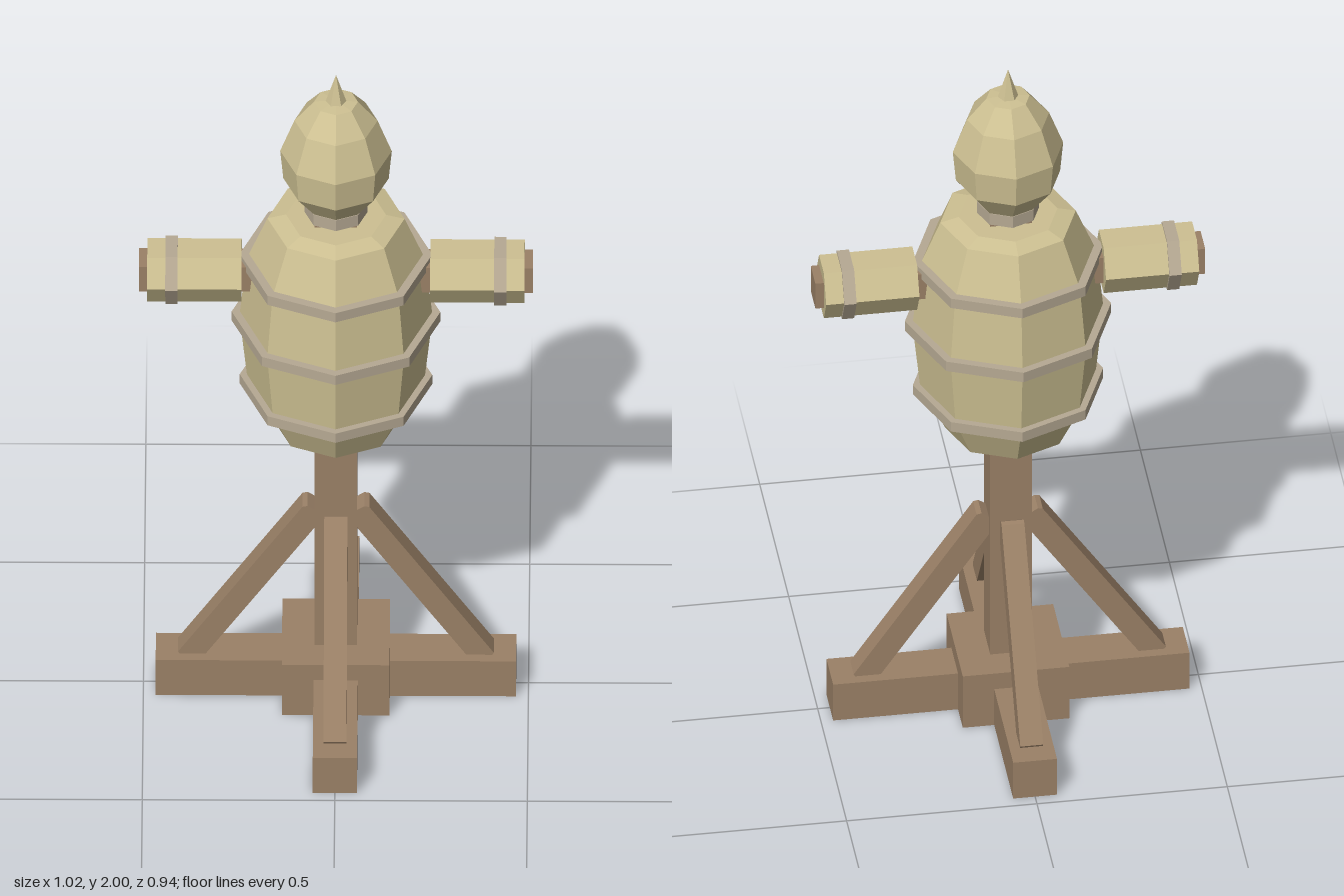
import * as THREE from 'three';

function material(name, color) {
  const m = new THREE.MeshStandardMaterial({ color, flatShading: true });
  m.name = name;
  return m;
}

export function createModel() {
  const wood = material('wood', 0x9b8167);
  const straw = material('straw', 0xcdc092);
  const rope = material('rope', 0xb6a993);
  const model = new THREE.Group();

  function add(name, geometry, mat, x = 0, y = 0, z = 0, parent = model) {
    const mesh = new THREE.Mesh(geometry, mat);
    mesh.name = name;
    mesh.position.set(x, y, z);
    parent.add(mesh);
    return mesh;
  }
  const lathe = (points, sides) =>
    new THREE.LatheGeometry(points.map(([r, y]) => new THREE.Vector2(r, y)), sides).toNonIndexed();

  // Crossed feet with a raised centre block and the upright post
  add('footAcross', new THREE.BoxGeometry(0.936, 0.115, 0.115), wood, 0, 0.0575, 0);
  add('footAlong', new THREE.BoxGeometry(0.115, 0.115, 0.936), wood, 0, 0.0575, 0);
  add('centreBlock', new THREE.BoxGeometry(0.28, 0.165, 0.28), wood, 0, 0.0825, 0);
  add('post', new THREE.BoxGeometry(0.11, 1.45, 0.11), wood, 0, 0.875, 0);

  // Four slanted braces from the feet to the post
  const braceShape = new THREE.Shape(
    [[0.34, 0.113], [0.405, 0.113], [0.41, 0.122], [0.087, 0.6], [0.074, 0.603], [0.05, 0.587], [0.05, 0.54]]
      .map(([x, y]) => new THREE.Vector2(x, y)));
  const braceGeometry = new THREE.ExtrudeGeometry(braceShape, { depth: 0.06, bevelEnabled: false });
  braceGeometry.translate(0, 0, -0.03);
  for (let i = 0; i < 4; i++) {
    add('brace', braceGeometry, wood).rotation.y = i * Math.PI / 2;
  }

  // Barrel-shaped straw torso, eight-sided with corners on the axes
  add('torso', lathe([
    [0, 0.855], [0.14, 0.855], [0.165, 0.867], [0.23, 1.0], [0.251, 1.205],
    [0.232, 1.395], [0.178, 1.527], [0.13, 1.54], [0, 1.54],
  ], 8), straw);

  // Hoops tied around the torso
  for (const [radius, y] of [[0.25, 0.998], [0.271, 1.205], [0.25, 1.395]]) {
    add('torsoHoop', new THREE.CylinderGeometry(radius, radius, 0.03, 8), rope, 0, y, 0);
  }

  // Neck binding and head
  add('neckBinding', new THREE.CylinderGeometry(0.082, 0.082, 0.035, 8), rope, 0, 1.567, 0);
  add('head', lathe([
    [0, 1.58], [0.078, 1.582], [0.137, 1.66], [0.145, 1.75],
    [0.108, 1.85], [0.057, 1.912], [0, 1.918],
  ], 8), straw);
  add('topTuft', new THREE.ConeGeometry(0.03, 0.095, 6, 1, false, Math.PI / 6), straw, 0, 1.9525, 0);

  // Crossbeam and the padded arms tied around it
  const armY = 1.356;
  add('crossbeam', new THREE.BoxGeometry(1.024, 0.08, 0.08), wood, 0, armY, 0);
  for (const side of [1, -1]) {
    const arm = new THREE.Group();
    arm.name = side > 0 ? 'leftArm' : 'rightArm';
    model.add(arm);
    const pad = add('armPadding', new THREE.CylinderGeometry(0.083, 0.083, 0.245, 6), straw, side * 0.3675, armY, 0, arm);
    const band = add('armBand', new THREE.CylinderGeometry(0.09, 0.09, 0.032, 6), rope, side * 0.427, armY, 0, arm);
    pad.rotation.z = band.rotation.z = Math.PI / 2;
  }
  return model;
}
